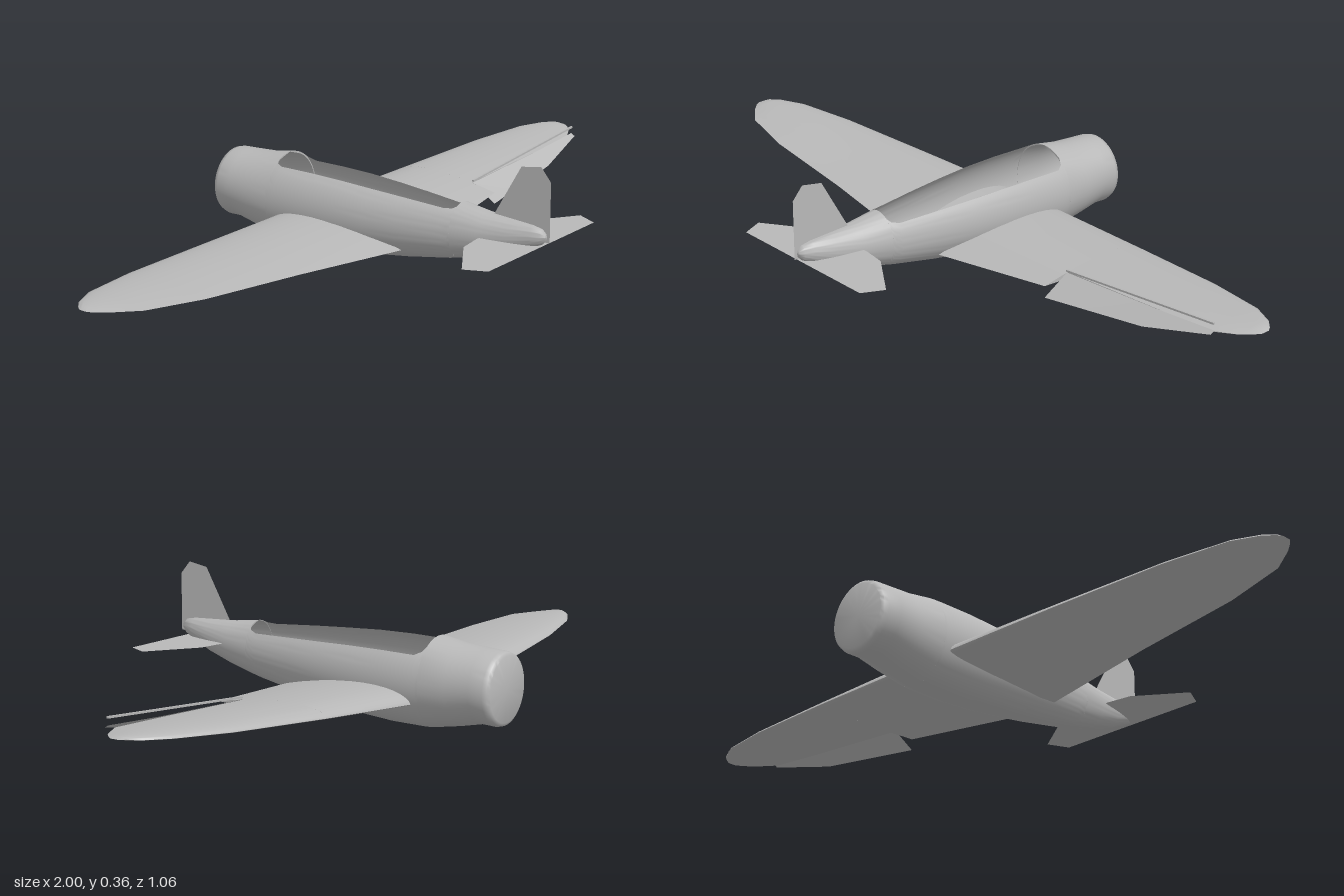
import * as THREE from 'three';
import { toCreasedNormals } from 'three/addons/utils/BufferGeometryUtils.js';

const grey = new THREE.MeshStandardMaterial({ color: 0xb8b8b8, side: THREE.DoubleSide });
grey.name = 'plain grey';

// Skin a list of equal-length rings of [x, y, z] points.
function loft(rings, { closed = false, flip = false } = {}) {
  const n = rings[0].length, index = [];
  for (let i = 0; i < rings.length - 1; i++) {
    for (let j = 0; j < (closed ? n : n - 1); j++) {
      const k = (j + 1) % n;
      const a = i * n + j, b = i * n + k, c = a + n, d = b + n;
      if (flip) index.push(a, b, c, b, d, c);
      else index.push(a, c, b, b, c, d);
    }
  }
  const geo = new THREE.BufferGeometry();
  geo.setAttribute('position', new THREE.Float32BufferAttribute(rings.flat(2), 3));
  geo.setIndex(index);
  return toCreasedNormals(geo, 0.9);
}

function add(group, name, geo) {
  const mesh = new THREE.Mesh(geo, grey);
  mesh.name = name;
  group.add(mesh);
  return mesh;
}

// Fuselage stations: z, bottom, top, half width, cockpit opening (0 shut, 1 full)
const STATIONS = [
  [-0.527, 0.128, 0.128, 0.0, 0],
  [-0.527, 0.042, 0.214, 0.083, 0],
  [-0.522, 0.034, 0.222, 0.092, 0],
  [-0.51, 0.031, 0.225, 0.096, 0],
  [-0.47, 0.033, 0.227, 0.098, 0],
  [-0.4, 0.018, 0.232, 0.102, 0],
  [-0.325, 0.005, 0.245, 0.107, 0],
  [-0.325, 0.005, 0.245, 0.107, 0.68],
  [-0.318, 0.004, 0.246, 0.107, 0.87],
  [-0.3, 0.003, 0.248, 0.108, 1],
  [-0.2, 0.004, 0.25, 0.108, 1],
  [-0.1, 0.012, 0.248, 0.105, 1],
  [0, 0.024, 0.242, 0.097, 1],
  [0.1, 0.039, 0.235, 0.085, 1],
  [0.23, 0.063, 0.224, 0.066, 1],
  [0.252, 0.068, 0.222, 0.063, 0.87],
  [0.26, 0.07, 0.221, 0.062, 0.65],
  [0.26, 0.07, 0.221, 0.062, 0],
  [0.34, 0.091, 0.211, 0.05, 0],
  [0.42, 0.117, 0.207, 0.036, 0],
  [0.48, 0.144, 0.204, 0.024, 0],
  [0.508, 0.158, 0.199, 0.016, 0],
  [0.52, 0.17, 0.188, 0.007, 0],
  [0.522, 0.179, 0.179, 0, 0],
];

function fuselage() {
  const N = 56;
  return loft(STATIONS.map(([z, bottom, top, w, open]) => {
    const start = 0.88 * open, end = 2 * Math.PI - 0.65 * open;
    return Array.from({ length: N + 1 }, (_, j) => {
      const t = start + (end - start) * j / N;
      return [w * Math.sin(t), (top + bottom) / 2 + (top - bottom) / 2 * Math.cos(t), z];
    });
  }));
}

// Wing sections: x, leading z, trailing z, chord height, thickness factor
const SECTIONS = [
  [0.07, -0.305, 0.115, 0.076, 1],
  [0.42, -0.27, 0.065, 0.098, 0.62],
  [0.42, -0.27, 0.065, 0.098, 0.62],
  [0.73, -0.23, 0.035, 0.119, 0.42],
  [0.9, -0.19, -0.003, 0.132, 0.28],
  [0.965, -0.155, -0.05, 0.136, 0.2],
  [0.99, -0.13, -0.075, 0.138, 0.12],
  [1.0, -0.115, -0.09, 0.138, 0],
];
const HINGE_Z = -0.015;

function wing(side, hasFlap) {
  const M = 12;
  const rings = SECTIONS.map(([x, lead, trail, y, k], i) => {
    const ring = [], chord = trail - lead;
    // the trailing edge is cut away at the hinge where the flap hangs
    const uMax = hasFlap && i > 1 ? Math.min(1, (HINGE_Z - lead) / chord) : 1;
    for (let j = -M; j < M; j++) {
      const u = uMax * (j / M) ** 2;
      const bulge = 2.6 * Math.sqrt(u) * (1 - u) * k;
      ring.push([side * x, y + bulge * (j < 0 ? 0.042 : -0.012), lead + u * chord]);
    }
    const bulge = 2.6 * Math.sqrt(uMax) * (1 - uMax) * k;
    ring.push([side * x, y - 0.012 * bulge, lead + uMax * chord]);
    return ring;
  });
  return loft(rings, { closed: true, flip: side < 0 });
}

// Flat polygon from [u, v] corners
function plate(points) {
  return new THREE.ShapeGeometry(new THREE.Shape(points.map(([u, v]) => new THREE.Vector2(u, v))));
}

export function createModel() {
  const model = new THREE.Group();
  model.name = 'airplane';

  add(model, 'fuselage', fuselage());
  add(model, 'leftWing', wing(1, true));
  add(model, 'rightWing', wing(-1, false));

  // Lowered flap: hinge edge and drooped trailing edge
  add(model, 'flap', loft([
    [[0.42, 0.112, -0.012], [0.42, 0.066, 0.065]],
    [[0.73, 0.128, -0.012], [0.73, 0.095, 0.035]],
    [[0.92, 0.142, -0.012], [0.92, 0.135, 0.0]],
  ], { flip: true }));

  // Thin strip standing above the hinge line
  const from = new THREE.Vector3(0.42, 0.118, -0.011);
  const to = new THREE.Vector3(0.92, 0.161, -0.011);
  const strip = add(model, 'hingeStrip', new THREE.BoxGeometry(from.distanceTo(to), 0.005, 0.006));
  strip.position.copy(from).lerp(to, 0.5);
  strip.rotation.z = Math.atan2(to.y - from.y, to.x - from.x);

  // Fin, drawn in (-z, y)
  const fin = add(model, 'fin', plate([
    [-0.53, 0.165], [-0.36, 0.165], [-0.36, 0.21], [-0.44, 0.35], [-0.5, 0.36], [-0.53, 0.325],
  ]));
  fin.rotation.y = Math.PI / 2;

  // Tailplane, drawn in (x, -z)
  const half = [[0.235, -0.51], [0.263, -0.45], [0.128, -0.357], [0.06, -0.347]];
  const mirrored = half.map(([x, z]) => [-x, z]).reverse();
  const tail = add(model, 'tailplane', plate([...half, ...mirrored]));
  tail.rotation.x = -Math.PI / 2;
  tail.position.y = 0.154;

  return model;
}
